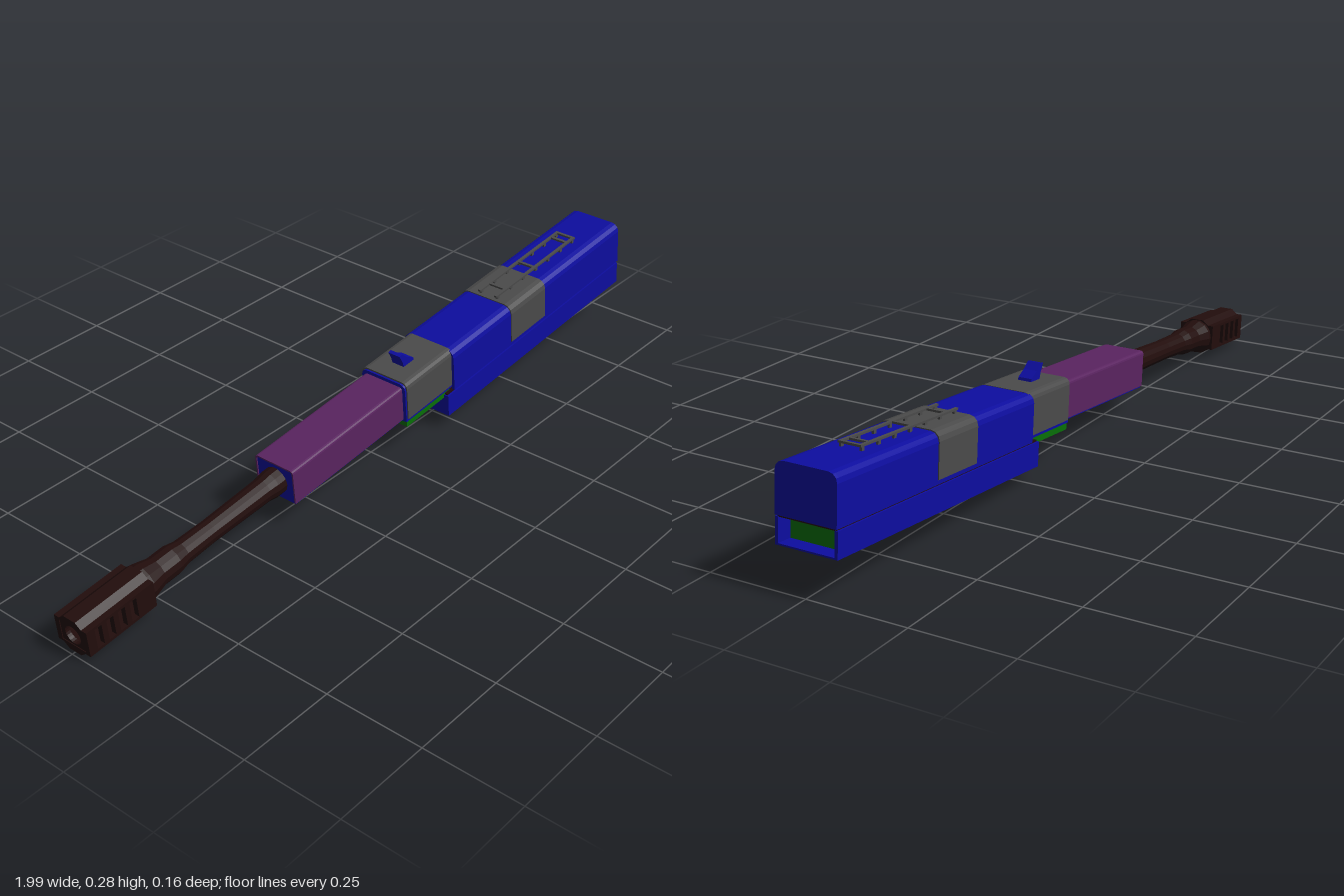
import * as THREE from 'three';

const mat = (name, color) => {
  const m = new THREE.MeshStandardMaterial({ color, side: THREE.DoubleSide, flatShading: true });
  m.name = name;
  return m;
};

export function createModel() {
  const blue = mat('blue', 0x0d0da0), purple = mat('purple', 0x5a2460), grey = mat('grey', 0x4b4b4b);
  const green = mat('green', 0x087008), brown = mat('dark brown', 0x220d0c);

  // Everything lies along one axis, tilted up towards +x
  const root = new THREE.Group();
  root.name = 'tiltedBarrelAssembly';
  const body = new THREE.Group();
  body.name = 'body';
  body.rotation.z = 0.0873;
  body.position.y = 0.137;
  root.add(body);

  const add = (name, geo, material) => {
    const m = new THREE.Mesh(geo, material);
    m.name = name;
    body.add(m);
    return m;
  };
  // Box given by its limits along x, y and z
  const box = (name, material, x0, x1, y0, y1, z0, z1) =>
    add(name, new THREE.BoxGeometry(x1 - x0, y1 - y0, z1 - z0)
      .translate((x0 + x1) / 2, (y0 + y1) / 2, (z0 + z1) / 2), material);
  // Cross-section (z, y) swept from x0 to x1
  const sweep = (name, material, pts, x0, x1) => {
    const shape = new THREE.Shape(pts.map(p => new THREE.Vector2(p[0], p[1])));
    const geo = new THREE.ExtrudeGeometry(shape, { depth: x1 - x0, bevelEnabled: false });
    return add(name, geo.rotateY(Math.PI / 2).translate(x0, 0, 0), material);
  };
  // Half arch, from the bottom edge up to the rounded shoulder
  const half = (w, y0, y1, r) => {
    const pts = [[w, y0]];
    for (let i = 0; i <= 3; i++) {
      const a = (i / 3) * Math.PI / 2;
      pts.push([w - r + r * Math.cos(a), y1 - r + r * Math.sin(a)]);
    }
    return pts;
  };
  const arch = (w, y0, y1, r) => {
    const h = half(w, y0, y1, r);
    return [...h, ...h.map(p => [-p[0], p[1]]).reverse()];
  };
  // Hollow arch open at the bottom
  const shell = (w, y0, y1, r, t) =>
    [...arch(w, y0, y1, r), ...arch(w - t, y0, y1 - t, r * 0.8).reverse()];

  // Upper cover with closed end, and its grey band
  sweep('upperCover', blue, shell(0.078, -0.055, 0.062, 0.022, 0.008), 0.235, 0.98);
  sweep('coverEnd', blue, arch(0.078, -0.055, 0.062, 0.022), 0.98, 0.988);
  sweep('coverBand', grey, shell(0.0805, -0.044, 0.0645, 0.023, 0.004), 0.48, 0.632);

  // Receiver block with grey jacket
  sweep('receiver', blue, arch(0.068, -0.05, 0.059, 0.015), 0.052, 0.245);
  sweep('receiverJacket', grey, shell(0.071, -0.042, 0.063, 0.016, 0.004), 0.057, 0.24);

  // Lower tray, open at its end
  box('trayFloor', blue, 0.207, 0.985, -0.12, -0.116, -0.079, 0.079);
  box('trayFront', blue, 0.207, 0.215, -0.12, -0.059, -0.079, 0.079);
  for (const s of [-1, 1]) {
    const z = s * 0.075;
    box('trayWall', blue, 0.207, 0.985, -0.12, -0.059, z - 0.004, z + 0.004);
  }
  box('seamPlate', brown, 0.21, 0.983, -0.06, -0.055, -0.074, 0.074);
  box('innerBlock', green, 0.216, 0.945, -0.116, -0.068, -0.071, 0.071);
  box('undersidePlate', green, 0.055, 0.23, -0.067, -0.046, -0.066, 0.066);

  // Purple sleeve over a blue core
  sweep('sleeve', purple, shell(0.059, -0.044, 0.05, 0.008, 0.004), -0.353, 0.052);
  sweep('sleeveCore', blue, arch(0.056, -0.048, 0.047, 0.008), -0.35, 0.052);

  // Small leaning sight on the receiver
  const fin = new THREE.Shape([[0.112, 0.06], [0.108, 0.078], [0.098, 0.1], [0.108, 0.102],
    [0.126, 0.085], [0.15, 0.07], [0.152, 0.06]].map(p => new THREE.Vector2(...p)));
  add('rearSight', new THREE.ExtrudeGeometry(fin, { depth: 0.036, bevelEnabled: false })
    .translate(0, 0, -0.018), blue);

  // Ladder rail on the cover
  for (const s of [-1, 1]) {
    const z = s * 0.026;
    box('railBar', grey, 0.485, 0.845, 0.071, 0.076, z - 0.004, z + 0.004);
    for (let i = 0; i < 7; i++) {
      const x = 0.49 + i * 0.057;
      box('railPost', grey, x, x + 0.009, 0.06, 0.073, z - 0.003, z + 0.003);
    }
  }
  for (const x of [0.525, 0.655, 0.808, 0.837])
    box('railRung', grey, x, x + 0.008, 0.071, 0.076, -0.026, 0.026);

  // Tapered barrel, turned about the axis
  const profile = [[0, -0.82], [0.046, -0.82], [0.046, -0.79], [0.036, -0.75], [0.036, -0.7],
    [0.03, -0.67], [0.028, -0.58], [0.031, -0.4], [0.035, -0.375], [0.035, -0.345], [0, -0.345]];
  const barrel = new THREE.LatheGeometry(profile.map(p => new THREE.Vector2(...p)), 14);
  add('barrel', barrel.rotateZ(-Math.PI / 2), brown);

  // Muzzle brake: slotted sides, faceted top and bottom, ring at the mouth
  const x0 = -0.998, x1 = -0.8;
  const side = new THREE.Shape([[x0, -0.034], [x1, -0.034], [x1, 0.034], [x0, 0.034]]
    .map(p => new THREE.Vector2(...p)));
  for (let i = 0; i < 4; i++) {
    const a = -0.975 + i * 0.034, b = a + 0.02;
    side.holes.push(new THREE.Path([[a, -0.027], [a, 0.027], [b, 0.027], [b, -0.027]]
      .map(p => new THREE.Vector2(...p))));
  }
  for (const s of [-1, 1]) {
    add('brakeSide', new THREE.ExtrudeGeometry(side, { depth: 0.014, bevelEnabled: false })
      .translate(0, 0, s * 0.043 - 0.007), brown);
    const cap = [[-0.05, 0.028], [0.05, 0.028], [0.05, 0.034], [0.034, 0.034],
      [0.018, 0.047], [-0.018, 0.047], [-0.034, 0.034], [-0.05, 0.034]];
    sweep('brakeCap', brown, cap.map(p => [p[0], s * p[1]]), x0, x1);
  }
  const mouth = new THREE.Shape([[-0.046, -0.032], [0.046, -0.032], [0.046, 0.032], [-0.046, 0.032]]
    .map(p => new THREE.Vector2(...p)));
  mouth.holes.push(new THREE.Path().absarc(0, 0, 0.024, 0, Math.PI * 2, true));
  add('brakeMouth', new THREE.ExtrudeGeometry(mouth, { depth: 0.012, bevelEnabled: false, curveSegments: 12 })
    .rotateY(Math.PI / 2).translate(x0 + 0.002, 0, 0), brown);

  return root;
}
